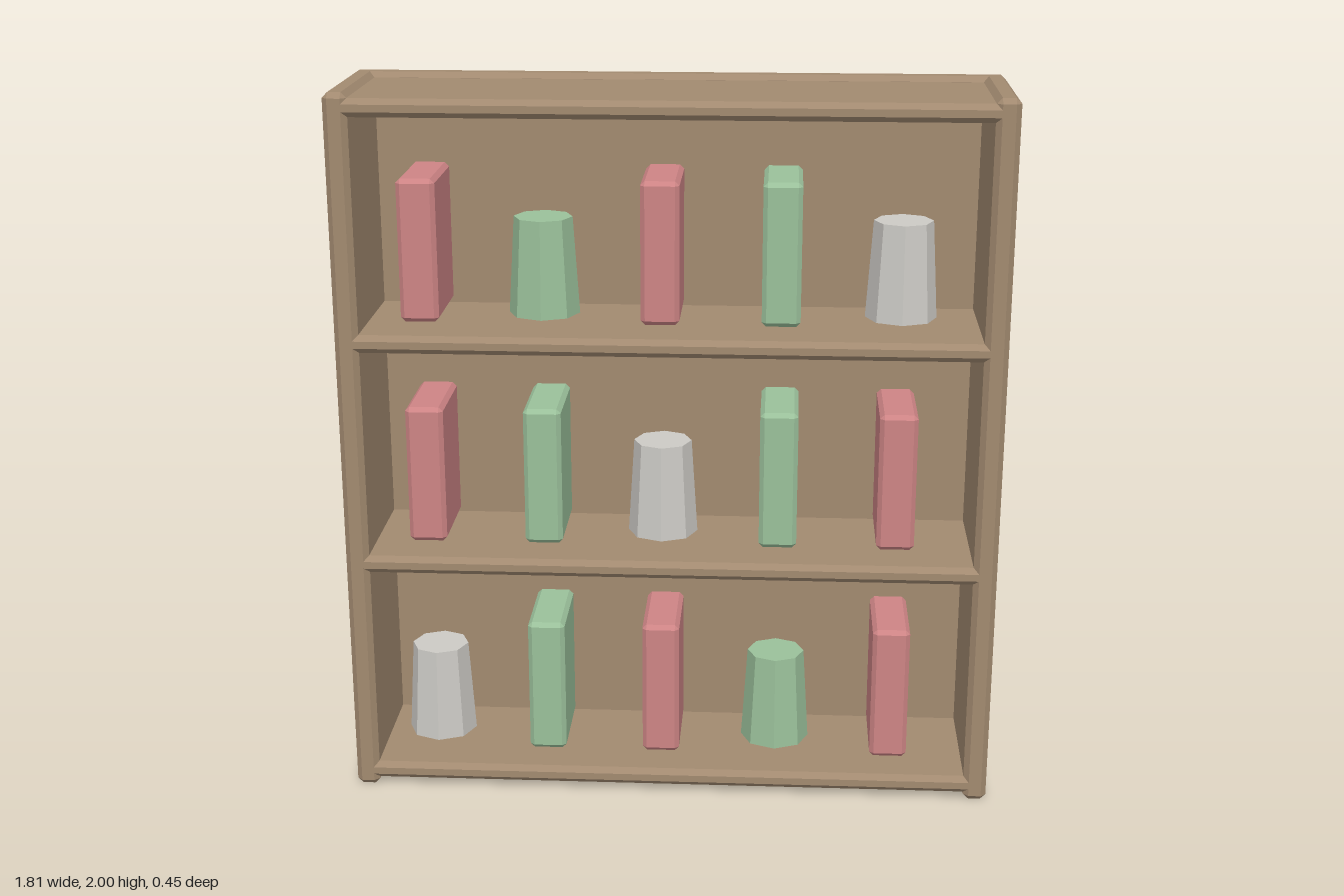
import * as THREE from 'three';
import { ConvexGeometry } from 'three/addons/geometries/ConvexGeometry.js';

const material = (name, color) => {
  const m = new THREE.MeshStandardMaterial({ color });
  m.name = name;
  return m;
};

// Box with chamfered edges, of size w, h, d; bx chamfers the ends along x
function bevelBox(w, h, d, b, bx = b) {
  const points = [];
  for (const sx of [-1, 1]) for (const sy of [-1, 1]) for (const sz of [-1, 1]) {
    const x = w / 2, y = h / 2, z = d / 2;
    points.push(new THREE.Vector3(sx * (x - bx), sy * (y - b), sz * z));
    points.push(new THREE.Vector3(sx * (x - bx), sy * y, sz * (z - b)));
    if (bx > 0) points.push(new THREE.Vector3(sx * x, sy * (y - b), sz * (z - b)));
  }
  return new ConvexGeometry(points);
}

export function createModel() {
  const model = new THREE.Group();
  model.name = 'bookcase';

  const wood = material('wood', 0xa28a70);
  const red = material('red', 0xcd8485);
  const green = material('green', 0x9ac09a);
  const grey = material('grey', 0xcccac5);

  const add = (name, geometry, mat, x, y, z) => {
    const mesh = new THREE.Mesh(geometry, mat);
    mesh.name = name;
    mesh.position.set(x, y, z);
    model.add(mesh);
  };

  // Side panels
  const sideGeo = bevelBox(0.065, 2, 0.45, 0.015);
  add('leftSide', sideGeo, wood, 0.8725, 1, 0);
  add('rightSide', sideGeo, wood, -0.8725, 1, 0);

  // Back panel, running into the sides
  add('backPanel', bevelBox(1.78, 2, 0.062, 0.015, 0), wood, 0, 1, -0.194);

  // Bottom, two shelves and top, evenly spaced
  const pitch = 0.638;
  const shelfGeo = bevelBox(1.714, 0.05, 0.4, 0.015, 0);
  for (let i = 0; i < 4; i++) {
    add(['bottomBoard', 'lowerShelf', 'upperShelf', 'topBoard'][i], shelfGeo, wood, 0, 0.046 + i * pitch, 0.025);
  }

  // Books and cups, listed per shelf from the bottom up
  const bookGeo = bevelBox(0.105, 0.393, 0.27, 0.012);
  const cupGeo = new THREE.CylinderGeometry(0.081, 0.098, 0.27, 8).toNonIndexed();
  cupGeo.computeVertexNormals();
  const kinds = {
    R: ['redBook', bookGeo, red, 0.393],
    G: ['greenBook', bookGeo, green, 0.393],
    c: ['greyCup', cupGeo, grey, 0.27],
    g: ['greenCup', cupGeo, green, 0.27],
  };
  ['cGRgR', 'RGcGR', 'RgRGc'].forEach((row, r) => {
    [...row].forEach((key, i) => {
      const [name, geometry, mat, height] = kinds[key];
      add(name, geometry, mat, -0.682 + i * 0.327, 0.095 + r * 0.637 + height / 2, 0.02);
    });
  });

  return model;
}
